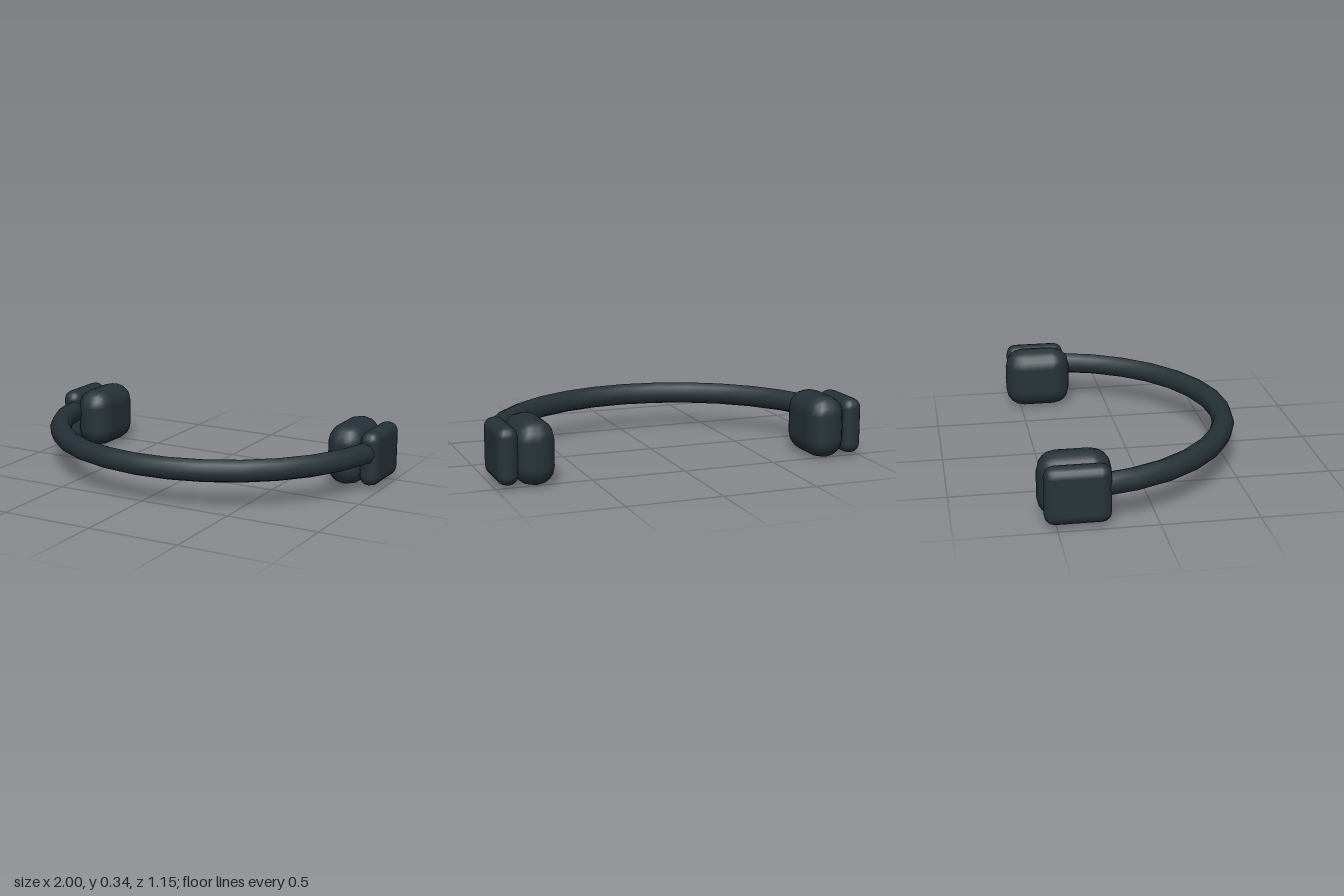
import * as THREE from 'three';
import { RoundedBoxGeometry } from 'three/addons/geometries/RoundedBoxGeometry.js';

export function createModel() {
  const group = new THREE.Group();
  const charcoal = new THREE.MeshStandardMaterial({ color: 0x263238 });
  charcoal.name = 'charcoal';

  const add = (name, geometry, x, y, z) => {
    const mesh = new THREE.Mesh(geometry, charcoal);
    mesh.name = name;
    mesh.position.set(x, y, z);
    group.add(mesh);
  };

  // Headband: an octagonal tube lying flat, its ends buried in the ear cups
  const band = new THREE.TorusGeometry(0.94, 0.06, 8, 16, 3.2);
  band.rotateX(Math.PI / 2);
  add('headband', band, 0, 0.2, -0.425);

  // Ear cups: thick inner cushion and thinner outer shell on each side
  for (const [side, s] of [['left', 1], ['right', -1]]) {
    add(side + 'Cushion', new RoundedBoxGeometry(0.21, 0.335, 0.37, 2, 0.1), s * 0.798, 0.1675, -0.395);
    add(side + 'Shell', new RoundedBoxGeometry(0.11, 0.298, 0.332, 2, 0.052), s * 0.942, 0.1675, -0.395);
  }
  return group;
}
